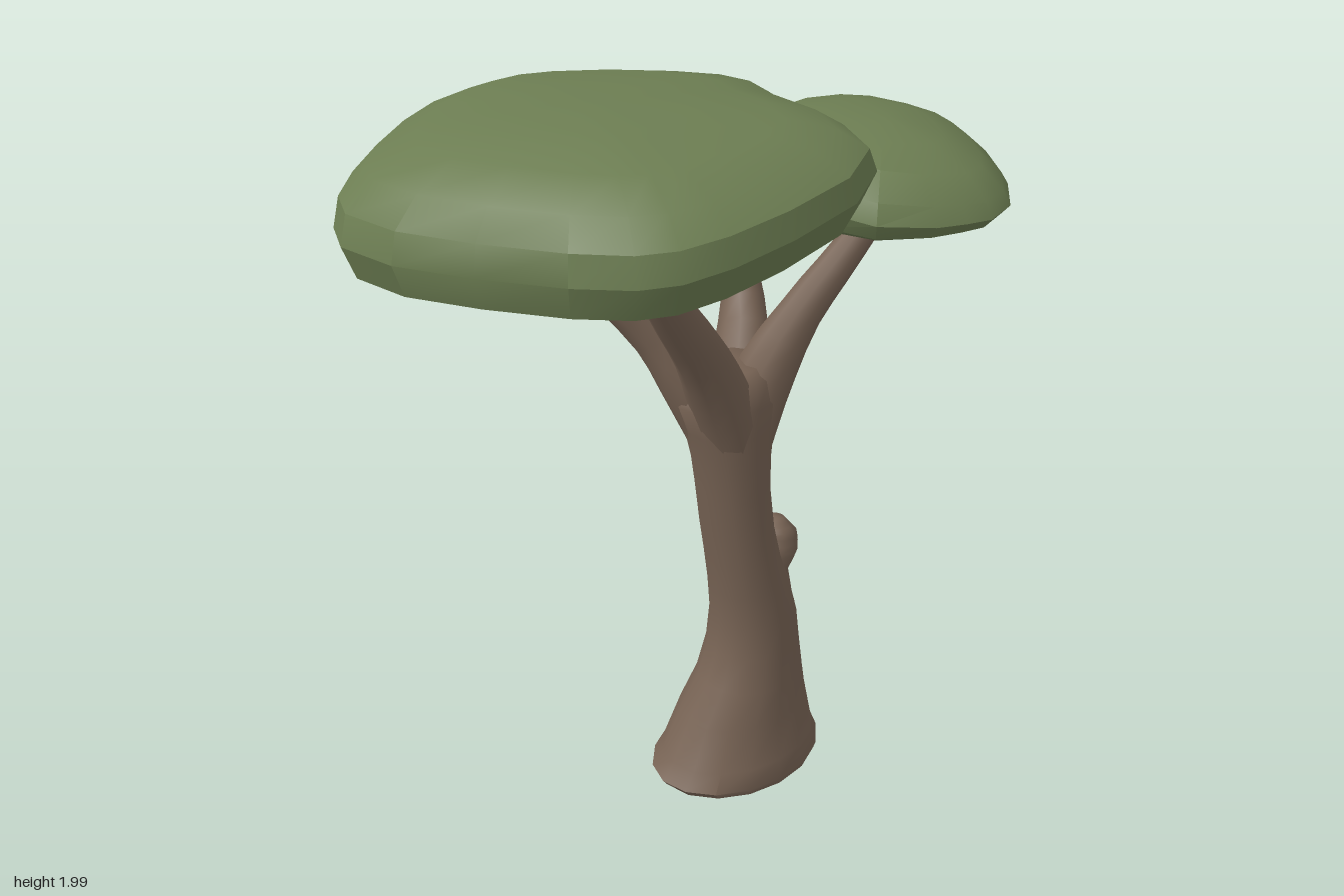
import * as THREE from 'three';
import { toCreasedNormals } from 'three/addons/utils/BufferGeometryUtils.js';

const bark = new THREE.MeshStandardMaterial({ color: 0x776354 });
const leaf = new THREE.MeshStandardMaterial({ color: 0x6c7d52 });

// Closed skin over a stack of equal-length rings, each end fanned to its middle
function skin(rings, name, material, crease) {
  const n = rings[0].length;
  const points = rings.flat();
  const index = [];
  for (let i = 0; i < rings.length - 1; i++) {
    for (let j = 0; j < n; j++) {
      const a = i * n + j, b = i * n + (j + 1) % n;
      index.push(a, a + n, b, b, a + n, b + n);
    }
  }
  const middle = (ring) => ring.reduce((s, p) => s.add(p), new THREE.Vector3()).divideScalar(n);
  const last = (rings.length - 1) * n, low = points.length, high = low + 1;
  points.push(middle(rings[0]), middle(rings[rings.length - 1]));
  for (let j = 0; j < n; j++) {
    const k = (j + 1) % n;
    index.push(low, j, k, high, last + k, last + j);
  }
  const geometry = new THREE.BufferGeometry().setFromPoints(points);
  geometry.setIndex(index);
  const mesh = new THREE.Mesh(toCreasedNormals(geometry, crease), material);
  mesh.name = name;
  return mesh;
}

// Tapering limb along a smooth path of [x, y, z, radius]
function limb(name, path, sides = 10, steps = 10) {
  const curve = new THREE.CatmullRomCurve3(path.map(([x, y, z]) => new THREE.Vector3(x, y, z)));
  const rings = [];
  for (let i = 0; i <= steps; i++) {
    const t = i / steps, f = t * (path.length - 1);
    const k = Math.min(Math.floor(f), path.length - 2);
    const r = THREE.MathUtils.lerp(path[k][3], path[k + 1][3], f - k);
    const p = curve.getPoint(t), tangent = curve.getTangent(t);
    const u = new THREE.Vector3(0, 0, 1).cross(tangent).normalize();
    const v = u.clone().cross(tangent).normalize();
    rings.push(Array.from({ length: sides }, (_, j) => {
      const a = j / sides * Math.PI * 2;
      return p.clone().addScaledVector(u, r * Math.cos(a)).addScaledVector(v, r * Math.sin(a));
    }));
  }
  return skin(rings, name, bark, 0.9);
}

// Flat leaf cushion: plan outline scaled per level [scale, y, slopeX, slopeZ]
function cushion(name, [cx, cz], outline, levels) {
  const rings = levels.map(([s, y, sx, sz]) => outline.map(([x, z]) => {
    const dx = (x - cx) * s, dz = (z - cz) * s;
    return new THREE.Vector3(cx + dx, y + dx * sx + dz * sz, cz + dz);
  }));
  return skin(rings, name, leaf, 0.5);
}

export function createModel() {
  const tree = new THREE.Group();
  tree.name = 'tree';

  // Trunk: horizontal ellipses [y, xMin, xMax, zMin, zMax]
  const trunk = [
    [0.01, -0.14, 0.38, -0.035, 0.355], [0.03, -0.155, 0.39, -0.04, 0.36],
    [0.08, -0.115, 0.37, -0.025, 0.34], [0.2, -0.06, 0.345, 0.0, 0.315],
    [0.3, 0.0, 0.327, 0.02, 0.3], [0.4, 0.035, 0.31, 0.03, 0.288],
    [0.5, 0.045, 0.295, 0.037, 0.282], [0.6, 0.038, 0.265, 0.04, 0.277],
    [0.7, 0.025, 0.225, 0.044, 0.273], [0.8, 0.008, 0.2, 0.047, 0.268],
    [0.93, -0.012, 0.183, 0.05, 0.265], [1.03, -0.03, 0.185, 0.048, 0.265],
    [1.12, -0.05, 0.2, 0.035, 0.265], [1.2, -0.075, 0.23, 0.0, 0.265],
    [1.26, -0.05, 0.21, 0.02, 0.25], [1.29, 0.0, 0.17, 0.06, 0.22],
  ].map(([y, x0, x1, z0, z1]) => Array.from({ length: 16 }, (_, j) => {
    const a = j / 16 * Math.PI * 2;
    return new THREE.Vector3((x0 + x1) / 2 + (x1 - x0) / 2 * Math.cos(a), y,
      (z0 + z1) / 2 + (z1 - z0) / 2 * Math.sin(a));
  }));
  tree.add(skin(trunk, 'trunk', bark, 0.9));

  // Cut stump on the side of the trunk
  tree.add(limb('stump', [
    [0.19, 0.4, 0.165, 0.09], [0.195, 0.53, 0.165, 0.09], [0.205, 0.63, 0.165, 0.068],
    [0.23, 0.69, 0.165, 0.075], [0.24, 0.745, 0.165, 0.06], [0.247, 0.775, 0.165, 0.02],
  ], 10, 15));

  // Branches reaching into the leaf cushions
  tree.add(limb('frontRightBranch', [
    [0.08, 1.02, 0.18, 0.075], [0.01, 1.22, 0.19, 0.085], [-0.08, 1.38, 0.225, 0.07],
    [-0.2, 1.54, 0.265, 0.058], [-0.34, 1.75, 0.315, 0.048],
  ]));
  tree.add(limb('backRightBranch', [
    [0.08, 1.02, 0.14, 0.08], [0.01, 1.22, 0.1, 0.095], [-0.07, 1.38, 0.03, 0.075],
    [-0.19, 1.54, -0.05, 0.063], [-0.33, 1.75, -0.15, 0.05],
  ]));
  tree.add(limb('frontLeftBranch', [
    [0.1, 1.02, 0.17, 0.075], [0.16, 1.23, 0.18, 0.085], [0.25, 1.41, 0.22, 0.058],
    [0.35, 1.55, 0.26, 0.046], [0.46, 1.7, 0.295, 0.036],
  ]));
  tree.add(limb('backLeftBranch', [
    [0.11, 1.02, 0.13, 0.075], [0.19, 1.21, 0.06, 0.085], [0.27, 1.36, -0.03, 0.06],
    [0.3, 1.49, -0.11, 0.046], [0.32, 1.65, -0.19, 0.036],
  ]));
  tree.add(limb('twig', [
    [0.3, 1.47, -0.1, 0.03], [0.32, 1.54, -0.05, 0.024], [0.35, 1.62, 0.0, 0.015],
  ], 7, 5));

  // Leaf cushions
  tree.add(cushion('largeLeafCushion', [-0.25, 0], [
    [-0.82, -0.18], [-0.78, -0.29], [-0.68, -0.4], [-0.53, -0.51], [-0.39, -0.58], [-0.25, -0.6],
    [-0.14, -0.59], [-0.03, -0.53], [0.13, -0.39], [0.24, -0.24], [0.31, -0.11], [0.33, 0.0],
    [0.3, 0.12], [0.295, 0.32], [0.23, 0.48], [0.08, 0.57], [-0.13, 0.6], [-0.3, 0.6],
    [-0.42, 0.575], [-0.5, 0.52], [-0.59, 0.4], [-0.7, 0.2], [-0.79, 0.0],
  ], [
    [0.5, 1.69, 0.12, 0], [0.87, 1.695, 0.13, 0], [0.95, 1.72, 0.14, 0], [1, 1.8, 0.13, 0],
    [0.97, 1.865, 0.11, 0], [0.86, 1.92, 0.09, 0], [0.67, 1.963, 0.06, 0],
    [0.35, 1.988, 0.04, 0], [0.1, 1.996, 0.03, 0],
  ]));
  tree.add(cushion('frontLeafCushion', [0.48, 0.25], [
    [0.17, 0.33], [0.165, 0.15], [0.23, 0.0], [0.34, -0.07], [0.45, -0.095], [0.6, -0.085],
    [0.7, -0.04], [0.78, 0.06], [0.82, 0.16], [0.81, 0.25], [0.77, 0.36], [0.7, 0.48],
    [0.61, 0.57], [0.51, 0.6], [0.44, 0.585], [0.36, 0.56], [0.24, 0.48],
  ], [
    [0.45, 1.662, 0, -0.02], [0.8, 1.68, 0.05, -0.04], [0.94, 1.71, 0.05, -0.07],
    [1, 1.755, 0.02, -0.12], [0.94, 1.795, -0.03, -0.13], [0.76, 1.845, -0.07, -0.13],
    [0.45, 1.877, -0.07, -0.12], [0.12, 1.888, -0.05, -0.1],
  ]));
  tree.add(cushion('backLeafCushion', [0.34, -0.11], [
    [0.07, -0.29], [0.13, -0.35], [0.19, -0.39], [0.29, -0.42], [0.4, -0.41], [0.5, -0.37],
    [0.6, -0.28], [0.65, -0.2], [0.66, -0.08], [0.64, 0.05], [0.55, 0.15], [0.4, 0.2],
    [0.22, 0.18], [0.08, 0.08], [0.01, -0.05], [0.02, -0.19],
  ], [
    [0.55, 1.58, 0, 0], [0.88, 1.592, 0, 0], [0.98, 1.63, 0, -0.03], [1, 1.675, 0, -0.1],
    [0.88, 1.745, 0, -0.15], [0.6, 1.805, 0, -0.13], [0.2, 1.832, 0, -0.1],
  ]));

  return tree;
}
